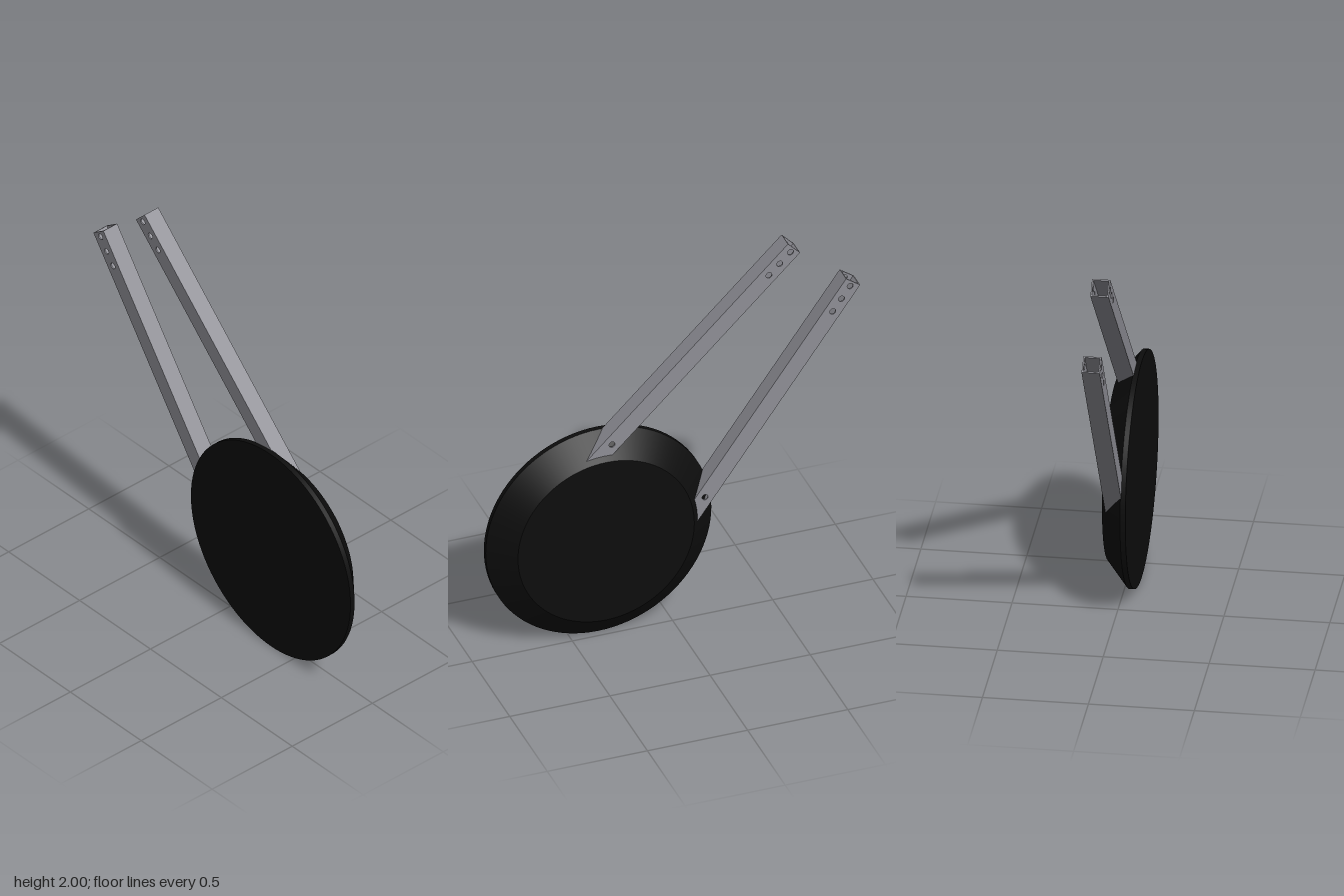
import * as THREE from 'three';

const steel = new THREE.MeshStandardMaterial({ color: 0x8f8f96 });
steel.name = 'steel grey';
const black = new THREE.MeshStandardMaterial({ color: 0x0d0d0d });
black.name = 'matte black';

const WIDTH = 0.086, WALL = 0.007, LENGTH = 1.43;

// Hollow square tube running along +x from its open end, drilled front and back
function makeBar(name, x, y, angle) {
  const bar = new THREE.Group();
  bar.name = name;
  const h = WIDTH / 2;
  const face = new THREE.Shape();
  face.moveTo(0, -h);
  face.lineTo(LENGTH, -h);
  face.lineTo(LENGTH, h);
  face.lineTo(0, h);
  face.closePath();
  // Three bolt holes at the free end and one beside the disc
  for (const d of [0.025, 0.1, 0.175, 1.27]) {
    const hole = new THREE.Path();
    hole.absarc(d, 0, 0.015, 0, Math.PI * 2, true);
    face.holes.push(hole);
  }
  const plate = new THREE.ExtrudeGeometry(face, { depth: WALL, bevelEnabled: false, curveSegments: 20 });
  const side = new THREE.BoxGeometry(LENGTH, WALL, WIDTH - 2 * WALL);
  const add = (geometry, partName, px, py, pz) => {
    const mesh = new THREE.Mesh(geometry, steel);
    mesh.name = partName;
    mesh.position.set(px, py, pz);
    bar.add(mesh);
  };
  add(plate, 'frontWall', 0, 0, h - WALL);
  add(plate, 'backWall', 0, 0, -h);
  add(side, 'upperWall', LENGTH / 2, h - WALL / 2, 0);
  add(side, 'lowerWall', LENGTH / 2, -h + WALL / 2, 0);
  bar.position.set(x, y, -0.001);
  bar.rotation.z = angle;
  return bar;
}

export function createModel() {
  const model = new THREE.Group();
  model.name = 'discWithBars';

  // Disc: short straight rim at the front, bevelled towards the back
  const disc = new THREE.Group();
  disc.name = 'disc';
  const rimDepth = 0.025, bevelDepth = 0.102, R = 0.563;
  const rim = new THREE.Mesh(new THREE.CylinderGeometry(R, R, rimDepth, 96), black);
  rim.name = 'discRim';
  rim.position.y = 0.0635 - rimDepth / 2;
  const bevel = new THREE.Mesh(new THREE.CylinderGeometry(R, 0.44, bevelDepth, 96), black);
  bevel.name = 'discBevel';
  bevel.position.y = -0.0635 + bevelDepth / 2;
  disc.add(rim, bevel);
  disc.rotation.x = Math.PI / 2;
  disc.position.set(0.355, R, 0);
  model.add(disc);

  // Two bars set either side of the disc centre, ending inside the bevel
  model.add(makeBar('upperBar', -0.59, 1.97, -0.774));
  model.add(makeBar('lowerBar', -0.885, 1.715, -0.95));
  return model;
}
